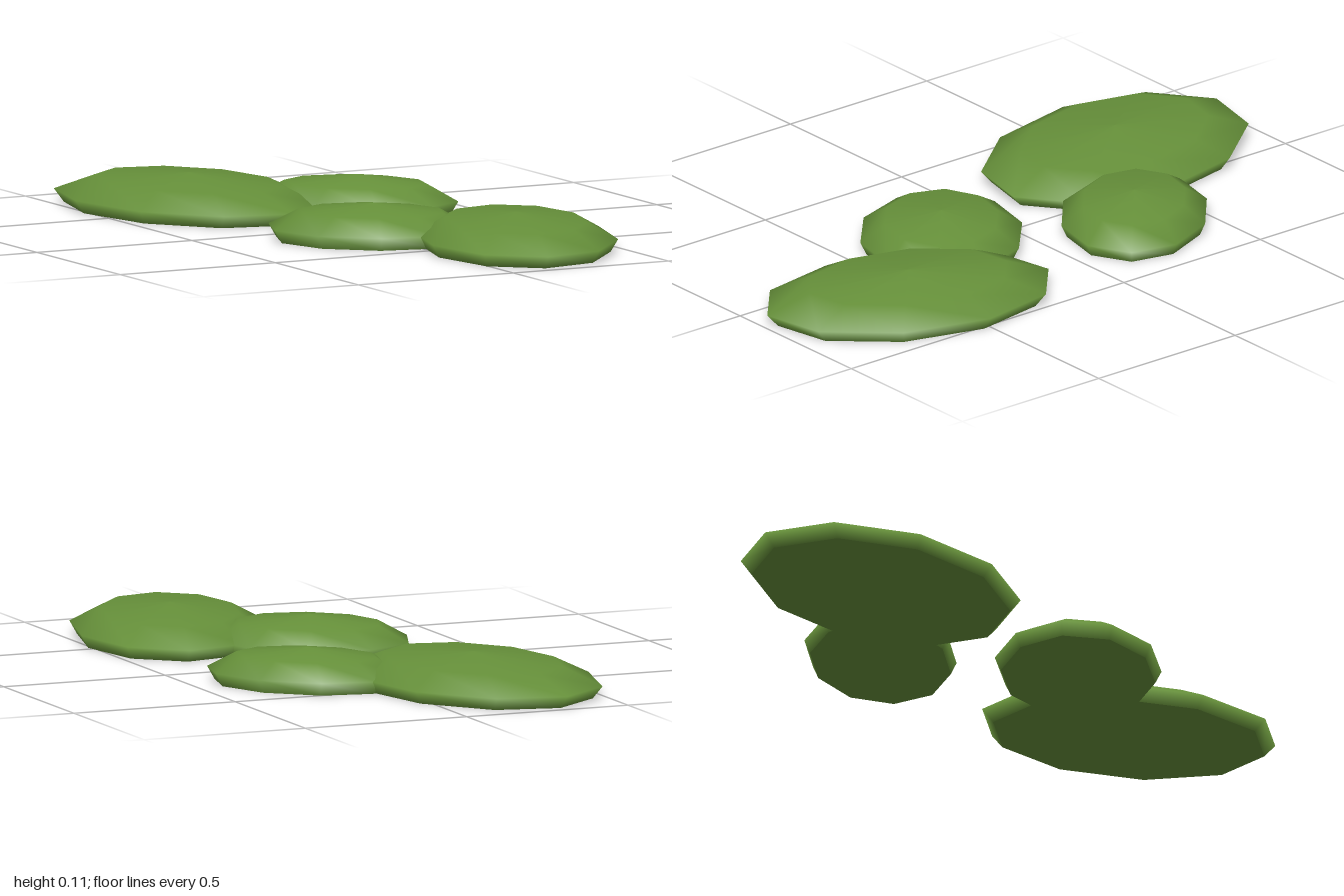
import * as THREE from 'three';

export function createModel() {
  const group = new THREE.Group();
  const leafGreen = new THREE.MeshStandardMaterial({ color: 0x66903a });
  leafGreen.name = 'leaf green';

  // unit profiles: smooth domed shell and flat underside, ten sides each
  const shell = [[0.925, 0], [1, 0.037], [0.7, 0.084], [0, 0.107]];
  const base = [[0, 0], [0.925, 0]];
  const lathe = (pts) => new THREE.LatheGeometry(pts.map(([r, y]) => new THREE.Vector2(r, y)), 10);

  // centre, then the two half-axis vectors of each oval, in x and z
  const pads = [
    { name: 'largeBackPad', c: [-0.215, -0.55], u: [0.31, -0.069], v: [0.097, 0.452] },
    { name: 'smallBackPad', c: [0.187, -0.293], u: [0.237, -0.025], v: [0.107, 0.258] },
    { name: 'smallFrontPad', c: [-0.043, 0.227], u: [0.265, -0.02], v: [0.084, 0.264] },
    { name: 'largeFrontPad', c: [0.235, 0.576], u: [0.275, 0.073], v: [-0.12, 0.418] },
  ];

  for (const { name, c, u, v } of pads) {
    // stretch the round pad into its turned oval
    const oval = new THREE.Matrix4().makeBasis(
      new THREE.Vector3(u[0], 0, u[1]),
      new THREE.Vector3(0, 1, 0),
      new THREE.Vector3(v[0], 0, v[1]),
    );
    const pad = new THREE.Group();
    pad.name = name;
    pad.position.set(c[0], 0, c[1]);
    for (const [part, profile] of [['dome', shell], ['underside', base]]) {
      const mesh = new THREE.Mesh(lathe(profile).applyMatrix4(oval), leafGreen);
      mesh.name = part;
      pad.add(mesh);
    }
    group.add(pad);
  }
  return group;
}
